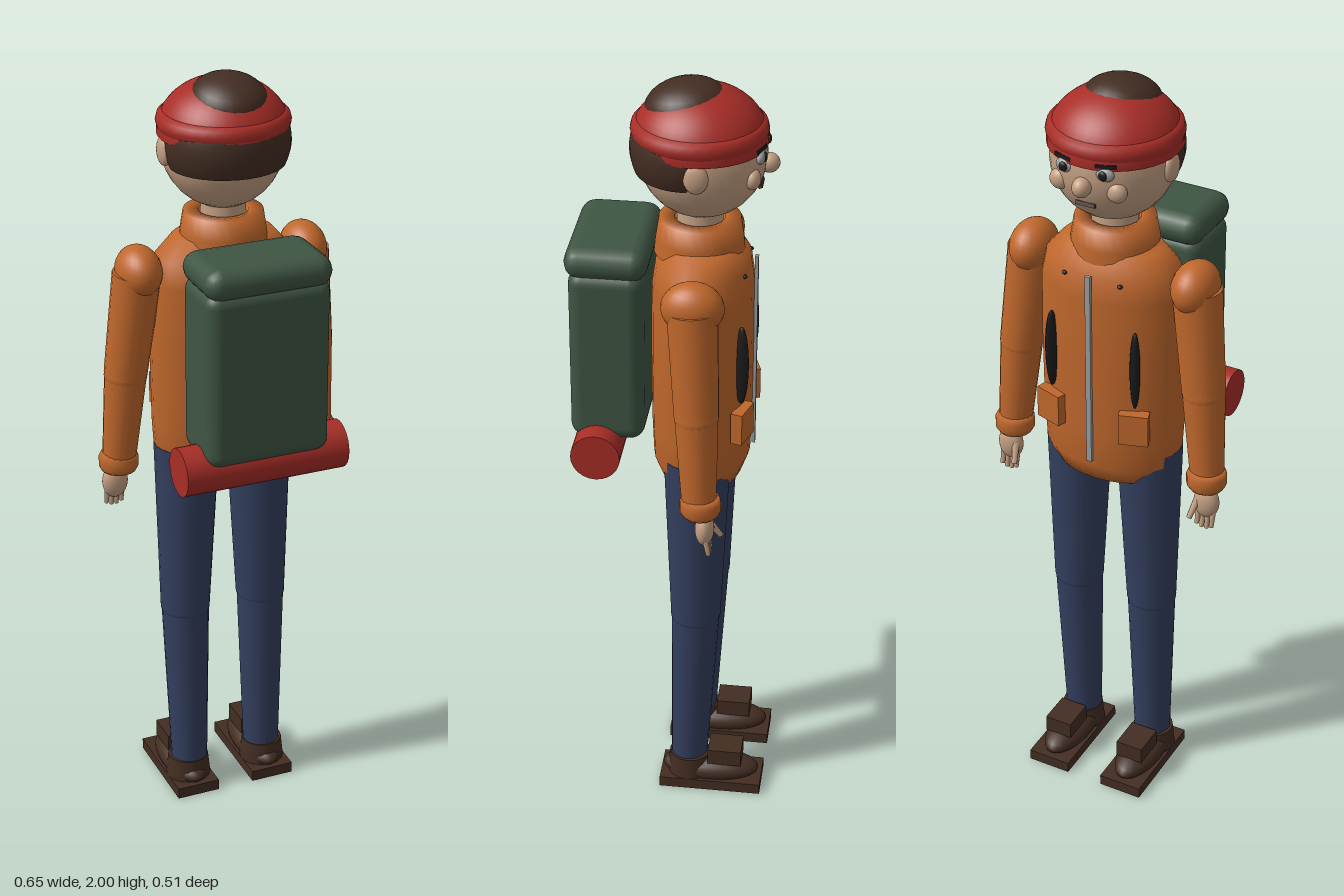
import * as THREE from 'three';
import { RoundedBoxGeometry } from 'three/addons/geometries/RoundedBoxGeometry.js';

const paint = (name, color) => {
  const m = new THREE.MeshStandardMaterial({ color });
  m.name = name;
  return m;
};

export function createModel() {
  const orange = paint('orange jacket', 0xbf672c);
  const red = paint('red wool', 0xa82d27);
  const green = paint('green canvas', 0x3f5543);
  const denim = paint('blue denim', 0x333f5e);
  const brown = paint('dark brown', 0x432d22);
  const skin = paint('skin', 0xc4a083);
  const silver = paint('silver', 0x9b9fa1);
  const black = paint('black', 0x1b1b1d);
  const root = new THREE.Group();
  root.name = 'hiker';

  const add = (parent, name, geometry, material, x = 0, y = 0, z = 0) => {
    const mesh = new THREE.Mesh(geometry, material);
    mesh.name = name;
    mesh.position.set(x, y, z);
    parent.add(mesh);
    return mesh;
  };
  const ball = (parent, name, material, [x, y, z], [rx, ry, rz], theta = Math.PI, seg = 24) => {
    const mesh = add(parent, name, new THREE.SphereGeometry(1, seg, 16, 0, Math.PI * 2, 0, theta), material, x, y, z);
    mesh.scale.set(rx, ry, rz);
    return mesh;
  };
  const box = (parent, name, material, [x, y, z], [w, h, d]) =>
    add(parent, name, new THREE.BoxGeometry(w, h, d), material, x, y, z);
  // tapered round bar from point a (radius ra) to point b (radius rb)
  const limb = (parent, name, material, a, ra, b, rb, seg = 18) => {
    const from = new THREE.Vector3(...a), to = new THREE.Vector3(...b);
    const dir = to.clone().sub(from);
    const mesh = add(parent, name, new THREE.CylinderGeometry(rb, ra, dir.length(), seg), material);
    mesh.position.copy(from).add(to).multiplyScalar(0.5);
    mesh.quaternion.setFromUnitVectors(new THREE.Vector3(0, 1, 0), dir.normalize());
    return mesh;
  };
  const lathe = (pts, seg = 28) => new THREE.LatheGeometry(pts.map(p => new THREE.Vector2(...p)), seg);

  // jacket body, the figure faces -z
  const jacket = new THREE.Group();
  jacket.name = 'jacket';
  root.add(jacket);
  const torso = add(jacket, 'torso', lathe([[0, 0.95], [0.155, 0.95], [0.182, 1.0], [0.188, 1.1],
    [0.19, 1.3], [0.188, 1.48], [0.175, 1.54], [0.13, 1.59], [0, 1.61]]), orange, 0, 0, -0.07);
  torso.scale.z = 0.67;
  add(jacket, 'collar', lathe([[0.112, 1.56], [0.108, 1.6], [0.1, 1.65], [0.062, 1.65], [0.062, 1.6]]), orange, 0, 0, -0.06);
  box(jacket, 'zip', silver, [0, 1.285, -0.2], [0.014, 0.53, 0.009]);

  // neck and head
  const head = new THREE.Group();
  head.name = 'head';
  root.add(head);
  limb(head, 'neck', skin, [0, 1.58, -0.06], 0.06, [0, 1.7, -0.06], 0.055);
  ball(head, 'face', skin, [0, 1.82, -0.065], [0.153, 0.16, 0.157], Math.PI, 32);
  const hair = ball(head, 'hair', brown, [0, 1.835, -0.035], [0.159, 0.145, 0.145], 1.98, 32);
  hair.material.side = THREE.DoubleSide;
  ball(head, 'nose', skin, [0, 1.8, -0.225], [0.023, 0.025, 0.026]);
  box(head, 'mouth', brown, [0, 1.747, -0.206], [0.05, 0.01, 0.01]).rotation.x = 0.4;

  // wool cap with hair showing at the crown
  const cap = ball(head, 'cap', red, [0, 1.855, -0.058], [0.163, 0.132, 0.165], 1.62, 36);
  cap.material.side = THREE.DoubleSide;
  const band = add(head, 'capBand', new THREE.TorusGeometry(0.145, 0.021, 10, 36), red, 0, 1.882, -0.058);
  band.rotation.x = Math.PI / 2;
  band.scale.z = 1.3;
  ball(head, 'crownHair', brown, [0, 1.94, -0.025], [0.096, 0.06, 0.1]).rotation.x = 0.17;

  // backpack and bedroll
  const pack = new THREE.Group();
  pack.name = 'backpack';
  root.add(pack);
  add(pack, 'packBody', new RoundedBoxGeometry(0.325, 0.46, 0.185, 3, 0.035), green, 0, 1.32, 0.152);
  add(pack, 'packLid', new RoundedBoxGeometry(0.33, 0.08, 0.205, 2, 0.039), green, 0, 1.57, 0.152);
  limb(pack, 'bedroll', red, [-0.217, 1.072, 0.173], 0.062, [0.217, 1.072, 0.173], 0.062, 24);

  for (const s of [-1, 1]) {
    const side = s > 0 ? 'left' : 'right';
    const group = (name) => {
      const g = new THREE.Group();
      g.name = side + name;
      root.add(g);
      return g;
    };

    // face details
    const features = group('FaceDetails');
    ball(features, 'ear', skin, [s * 0.152, 1.817, -0.067], [0.016, 0.038, 0.03]);
    ball(features, 'cheek', skin, [s * 0.075, 1.79, -0.193], [0.026, 0.026, 0.02]);
    ball(features, 'eye', silver, [s * 0.052, 1.838, -0.208], [0.024, 0.018, 0.013]);
    ball(features, 'pupil', black, [s * 0.052, 1.838, -0.219], [0.011, 0.012, 0.006]);
    const brow = box(features, 'brow', black, [s * 0.055, 1.86, -0.208], [0.05, 0.009, 0.012]);
    brow.rotation.y = s * -0.3;

    // chest zip, patch pocket and press stud
    const pocket = group('Pocket');
    const slit = ball(pocket, 'pocketZip', black, [s * 0.115, 1.305, -0.178], [0.013, 0.108, 0.02], Math.PI, 8);
    slit.rotation.y = s * -0.35;
    const patch = box(pocket, 'patchPocket', orange, [s * 0.115, 1.142, -0.182], [0.075, 0.085, 0.03]);
    patch.rotation.y = s * -0.3;
    ball(pocket, 'stud', black, [s * 0.075, 1.53, -0.178], [0.007, 0.005, 0.007], Math.PI, 8);

    // sleeve
    const arm = group('Arm');
    ball(arm, 'shoulder', orange, [s * 0.222, 1.515, -0.07], [0.057, 0.066, 0.077]);
    limb(arm, 'upperSleeve', orange, [s * 0.226, 1.51, -0.07], 0.062, [s * 0.256, 1.24, -0.085], 0.055);
    ball(arm, 'elbow', orange, [s * 0.256, 1.24, -0.085], [0.055, 0.05, 0.055]);
    limb(arm, 'lowerSleeve', orange, [s * 0.256, 1.24, -0.085], 0.054, [s * 0.275, 1.0, -0.095], 0.043);
    add(arm, 'cuff', lathe([[0, 0.97], [0.044, 0.97], [0.051, 0.982], [0.051, 1.008], [0.044, 1.022], [0, 1.022]], 16),
      orange, s * 0.275, 0, -0.098);

    // hand
    const hand = group('Hand');
    ball(hand, 'palm', skin, [s * 0.282, 0.932, -0.11], [0.034, 0.046, 0.024]);
    for (let i = 0; i < 4; i++) {
      const x = s * (0.262 + i * 0.0135);
      const tip = 0.858 + Math.abs(i - 1.5) * 0.006;
      limb(hand, 'finger', skin, [x, 0.92, -0.112], 0.0085, [x, tip, -0.122], 0.006, 8);
    }
    limb(hand, 'thumb', skin, [s * 0.262, 0.94, -0.12], 0.01, [s * 0.252, 0.895, -0.148], 0.007, 8);

    // trouser leg
    const leg = group('Leg');
    limb(leg, 'thigh', denim, [s * 0.1, 1.03, -0.068], 0.085, [s * 0.108, 0.55, -0.068], 0.065, 20);
    ball(leg, 'knee', denim, [s * 0.108, 0.55, -0.068], [0.065, 0.04, 0.065]);
    limb(leg, 'shin', denim, [s * 0.108, 0.55, -0.068], 0.063, [s * 0.106, 0.07, -0.053], 0.048, 20);

    // boot
    const boot = group('Boot');
    box(boot, 'sole', brown, [s * 0.109, 0.015, -0.115], [0.118, 0.03, 0.272]);
    ball(boot, 'upper', brown, [s * 0.109, 0.045, -0.112], [0.056, 0.038, 0.13]);
    limb(boot, 'heelCuff', brown, [s * 0.109, 0.03, -0.055], 0.06, [s * 0.109, 0.09, -0.055], 0.054, 16);
    box(boot, 'tongue', brown, [s * 0.109, 0.095, -0.152], [0.075, 0.046, 0.09]);
  }
  return root;
}
